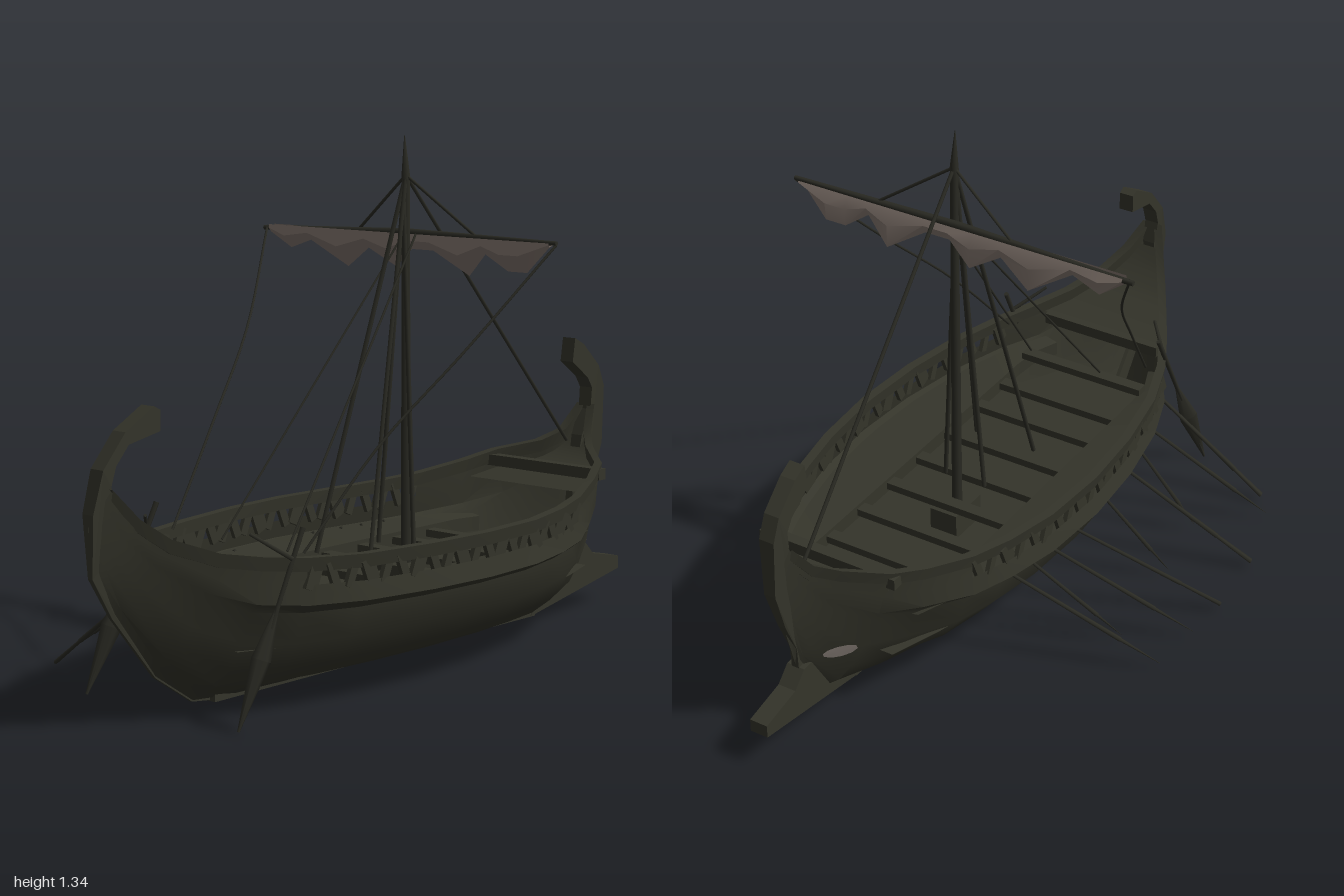
import * as THREE from 'three';
import { toCreasedNormals } from 'three/addons/utils/BufferGeometryUtils.js';

const material = (name, color) => {
  const m = new THREE.MeshStandardMaterial({ color, side: THREE.DoubleSide });
  m.name = name;
  return m;
};
const V = (x, y, z) => new THREE.Vector3(x, y, z);
const lerp = THREE.MathUtils.lerp;

// Hull stations: keel z, keel y, gunwale z, gunwale y, half width, fullness
const STATIONS = [
  [1.0, 0.5, 0.95, 0.58, 0.024, 0], [0.99, 0.38, 0.9, 0.51, 0.06, 0],
  [0.93, 0.28, 0.84, 0.46, 0.1, 0.2], [0.8, 0.12, 0.74, 0.42, 0.16, 0.5],
  [0.68, 0.04, 0.65, 0.405, 0.21, 0.8], [0.55, 0.03, 0.55, 0.395, 0.26, 1],
  [0.4, 0.03, 0.4, 0.39, 0.31, 1], [0.2, 0.03, 0.2, 0.39, 0.345, 1],
  [0, 0.03, 0, 0.39, 0.358, 1], [-0.2, 0.03, -0.2, 0.39, 0.345, 1],
  [-0.35, 0.03, -0.35, 0.395, 0.315, 1], [-0.47, 0.03, -0.47, 0.405, 0.28, 1],
  [-0.6, 0.035, -0.6, 0.43, 0.228, 0.8], [-0.74, 0.06, -0.69, 0.455, 0.185, 0.5],
  [-0.84, 0.2, -0.77, 0.48, 0.095, 0.2], [-0.88, 0.35, -0.82, 0.51, 0.05, 0],
  [-0.92, 0.47, -0.87, 0.58, 0.024, 0],
];
// Cross-section: share of half width, share of height
const PROFILE = [[0.06, 0], [0.2, 0.06], [0.46, 0.12], [0.68, 0.25], [0.86, 0.43],
  [0.92, 0.64], [1.03, 0.7], [1, 0.83], [1, 1]];

function station(u) {
  const i = Math.min(Math.floor(u), STATIONS.length - 2);
  return STATIONS[i].map((v, k) => lerp(v, STATIONS[i + 1][k], u - i));
}
function hullPoint(u, px, t, side) {
  const [kz, ky, gz, gy, w, full] = station(u);
  return V(side * w * lerp(t, px, full), lerp(ky, gy, t), lerp(kz, gz, t));
}
function gunwale(z) {
  let i = 0;
  while (i < STATIONS.length - 2 && STATIONS[i + 1][2] > z) i++;
  const a = STATIONS[i], b = STATIONS[i + 1];
  const f = THREE.MathUtils.clamp((a[2] - z) / (a[2] - b[2]), 0, 1);
  return { y: lerp(a[3], b[3], f), w: lerp(a[4], b[4], f) };
}

// Skin a row of equal-length cross-sections
function loft(sections, skip = () => false) {
  const n = sections[0].length, index = [];
  for (let i = 0; i < sections.length - 1; i++) {
    for (let j = 0; j < n - 1; j++) {
      if (skip(i, j)) continue;
      const a = i * n + j, b = a + n;
      index.push(a, a + 1, b, a + 1, b + 1, b);
    }
  }
  const g = new THREE.BufferGeometry().setFromPoints(sections.flat());
  g.setIndex(index);
  return toCreasedNormals(g, 0.6);
}

export function createModel() {
  const timber = material('dark timber', 0x34342a);
  const spar = material('spar and rope', 0x2a2a23);
  const canvas = material('sail cloth', 0x857870);
  const eyePaint = material('eye paint', 0x8d837c);
  const model = new THREE.Group();
  const ship = new THREE.Group();
  ship.name = 'ship';
  ship.position.x = 0.11;
  model.add(ship);

  function add(name, geometry, mat, parent = ship) {
    const m = new THREE.Mesh(geometry, mat);
    m.name = name;
    parent.add(m);
    return m;
  }
  function rod(name, a, b, r0, r1, flat = 1) {
    const d = b.clone().sub(a);
    const m = add(name, new THREE.CylinderGeometry(r1, r0, d.length(), 6), spar, model);
    m.position.copy(a).add(b).multiplyScalar(0.5);
    m.quaternion.setFromUnitVectors(V(0, 1, 0), d.normalize());
    m.scale.x = flat;
    return m;
  }

  // Hull shell, open along the midship railing
  const sections = STATIONS.map((_, i) => [
    ...PROFILE.slice().reverse().map(([x, t]) => hullPoint(i, x, t, -1)),
    ...PROFILE.map(([x, t]) => hullPoint(i, x, t, 1)),
  ]);
  add('hull', loft(sections, (i, j) => i >= 5 && i <= 10 && (j === 0 || j === 16)), timber);

  // Rails, railing braces, side walkways and eyes on both sides
  for (const s of [-1, 1]) {
    add('topRail', loft(STATIONS.map(([, , z, y, w]) =>
      [[0, -0.03], [0.006, 0.004], [-0.02, 0.004], [-0.016, -0.03], [0, -0.03]]
        .map(([dx, dy]) => V(s * Math.max(w + dx, 0), y + dy, z)))), timber);
    for (let k = 0; k < 21; k++) {
      const z = 0.53 - k * 0.049, { y, w } = gunwale(z);
      const post = add('railPost', new THREE.BoxGeometry(0.012, 0.07, k % 3 ? 0.024 : 0.04), timber);
      post.position.set(s * (w - 0.007), y - 0.042, z);
      post.rotation.x = k % 2 ? 0.4 : -0.4;
    }
    const walk = [];
    for (let z = 0.67; z > -0.63; z -= 0.08) {
      const { w } = gunwale(z), inner = Math.min(0.185, w * 0.75);
      walk.push([V(s * inner, 0.24, z), V(s * inner, 0.28, z), V(s * w * 0.94, 0.29, z)]);
    }
    add('sideWalkway', loft(walk), timber);
    const eye = [];
    for (const r of [0, 1]) {
      eye.push(Array.from({ length: 11 }, (_, k) => {
        const a = k / 10 * Math.PI * 2, du = r * 0.28 * Math.cos(a);
        const t = 0.31 + r * 0.055 * Math.sin(a) - 0.31 * du;
        // match the width of the neighbouring profile row
        const j = PROFILE.findIndex(p => p[1] >= t), p = PROFILE[j - 1], q = PROFILE[j];
        const px = lerp(p[0], q[0], (t - p[1]) / (q[1] - p[1]));
        return hullPoint(13.4 + du, px, t, s).add(V(s * 0.007, 0, 0));
      }));
    }
    add('eye', loft(eye), eyePaint);
  }

  // Floor and raised end decks
  function deck(name, z0, z1, height, share) {
    const rows = [];
    for (let k = 0; k <= 10; k++) {
      const z = lerp(z0, z1, k / 10), { w, y } = gunwale(z);
      rows.push([V(-w * share, height(y), z), V(w * share, height(y), z)]);
    }
    add(name, loft(rows), timber);
  }
  deck('floor', 0.68, -0.66, () => 0.18, 0.82);
  deck('sternDeck', 0.93, 0.67, y => y - 0.035, 0.96);
  deck('bowDeck', -0.62, -0.85, y => y - 0.05, 0.96);
  for (const [z, y] of [[0.56, 0.29], [0.43, 0.26], [0.3, 0.26], [0.14, 0.26], [0, 0.26],
    [-0.14, 0.26], [-0.28, 0.26], [-0.42, 0.26]]) {
    add('bench', new THREE.BoxGeometry(0.38, 0.02, 0.035), timber).position.set(0, y, z);
  }
  add('sternBeam', new THREE.BoxGeometry(0.36, 0.03, 0.03), timber).position.set(0, 0.36, 0.67);
  add('bowBeam', new THREE.BoxGeometry(0.4, 0.03, 0.03), timber).position.set(0, 0.43, -0.68);
  add('mastStep', new THREE.BoxGeometry(0.08, 0.08, 0.12), timber).position.set(0, 0.21, -0.11);

  // Keel, curled end posts and ram, cut from flat side outlines (z, y)
  function plank(name, outline, width, foot = 1) {
    const shape = new THREE.Shape(outline.map(([z, y]) => new THREE.Vector2(z, y)));
    const g = new THREE.ExtrudeGeometry(shape, { depth: width, bevelEnabled: false });
    g.translate(0, 0, -width / 2);
    g.rotateY(-Math.PI / 2);
    // slim the foot so that it fades into the hull
    const p = g.attributes.position;
    for (let i = 0; i < p.count; i++) {
      p.setX(i, p.getX(i) * lerp(foot, 1, THREE.MathUtils.smoothstep(p.getY(i), 0.3, 0.62)));
    }
    g.computeVertexNormals();
    return add(name, g, timber);
  }
  plank('sternPost', [[0.79, 0.75], [0.81, 0.76], [0.9, 0.71], [0.97, 0.63], [1, 0.53], [0.995, 0.38],
    [0.935, 0.28], [0.8, 0.115], [0.68, 0.035], [0.6, 0.025], [0.6, 0.05], [0.7, 0.09], [0.85, 0.26],
    [0.94, 0.42], [0.93, 0.53], [0.945, 0.59], [0.93, 0.635], [0.89, 0.68], [0.79, 0.7]], 0.042, 0.25);
  plank('bowPost', [[-0.79, 0.775], [-0.83, 0.755], [-0.9, 0.69], [-0.925, 0.63], [-0.925, 0.47],
    [-0.885, 0.35], [-0.845, 0.26], [-0.84, 0.17], [-0.78, 0.17], [-0.8, 0.35], [-0.83, 0.5],
    [-0.865, 0.57], [-0.87, 0.63], [-0.85, 0.66], [-0.78, 0.71]], 0.042, 0.5);
  plank('ram', [[-0.6, 0.027], [-1, 0.1], [-1, 0.135], [-0.88, 0.16], [-0.84, 0.2], [-0.72, 0.2]], 0.05);
  add('keel', new THREE.BoxGeometry(0.045, 0.02, 1.24), timber).position.set(0, 0.035, 0);

  // Mast, yard and furled sail
  const top = V(0.1, 1.25, -0.11);
  rod('mast', V(0.105, 0.18, -0.11), top, 0.014, 0.01);
  rod('mastTip', V(0.1, 1.24, -0.11), V(0.097, 1.35, -0.108), 0.012, 0.001);
  rod('yard', V(-0.415, 1.09, -0.13), V(0.08, 1.103, -0.13), 0.007, 0.011);
  rod('yard', V(0.08, 1.103, -0.13), V(0.567, 1.1, -0.13), 0.011, 0.006);
  const hem = [[-0.39, 1.08], [-0.33, 1.04], [-0.25, 1.065], [-0.14, 1.0], [-0.05, 1.055], [0.03, 1.01],
    [0.1, 1.06], [0.17, 1.06], [0.27, 1.0], [0.34, 1.06], [0.4, 1.02], [0.46, 1.02], [0.55, 1.09]];
  add('furledSail', loft(hem.map(([x, y]) => {
    const drop = 1.1 - y;
    return [V(x, 1.1, -0.12), V(x, 1.1 - drop * 0.45, -0.12 + drop * 0.1), V(x, y, -0.12 - drop * 0.4),
      V(x, 1.1 - drop * 0.4, -0.14 - drop * 0.2), V(x, 1.1, -0.14)];
  })), canvas, model);

  // Standing rigging and lifts
  rod('forestay', top, V(0.105, 0.49, -0.79), 0.005, 0.005);
  for (const s of [-1, 1]) {
    rod('shroud', top, V(0.11 + s * 0.09, 0.3, 0.14), 0.006, 0.006);
    rod('backShroud', V(0.1, 1.2, -0.1), V(0.105 + s * 0.06, 0.3, -0.07), 0.006, 0.006);
    rod('lift', top, V(0.12 + s * 0.2, 1.1, -0.13), 0.004, 0.004);
    rod('halyard', V(0.105 + s * 0.02, 1.1, -0.12), V(0.11 + s * 0.11, 0.38, 0.46), 0.003, 0.003);
    // Slack braces from the yard ends
    const brace = new THREE.CatmullRomCurve3([V(0.08 + s * 0.485, 1.095, -0.13),
      V(0.105 + s * 0.365, 0.85, 0.1), V(0.105 + s * 0.28, 0.64, 0.31), V(0.11 + s * 0.22, 0.4, 0.52)]);
    add('brace', new THREE.TubeGeometry(brace, 16, 0.0035, 5), spar, model);
  }

  // Oars on the right-hand side: root x, root z, tip x, tip z, tip radius
  for (const [x0, z0, x1, z1, tip] of [[-0.17, -0.34, -0.55, -0.18, 0.001], [-0.18, -0.26, -0.41, -0.13, 0.001],
    [-0.19, -0.19, -0.56, -0.02, 0.001], [-0.2, -0.09, -0.565, 0.12, 0.013], [-0.2, 0.09, -0.38, 0.18, 0.001],
    [-0.19, 0.22, -0.55, 0.33, 0.012], [-0.18, 0.33, -0.34, 0.4, 0.001], [-0.16, 0.42, -0.485, 0.55, 0.001],
    [-0.12, 0.57, -0.435, 0.62, 0.011]]) {
    const a = V(x0, 0.29, z0), b = V(x1, 0.03, z1), neck = a.clone().lerp(b, 0.75);
    rod('oarLoom', a, neck, 0.006, 0.009, 0.7);
    rod('oarBlade', neck, b, 0.009, tip, 0.5);
  }

  // Steering oars either side of the stern
  for (const [x0, x1] of [[-0.13, -0.195], [0.36, 0.322]]) {
    const a = V(x0, 0.47, 0.555), b = V(x1, 0.01, 0.735);
    rod('steeringOar', a, b, 0.007, 0.004);
    rod('steeringBlade', a.clone().lerp(b, 0.4), a.clone().lerp(b, 0.65), 0.006, 0.026, 0.4);
    rod('steeringBlade', a.clone().lerp(b, 0.65), b, 0.026, 0.003, 0.4);
    rod('tiller', V(x0, 0.4, 0.59), V(x0 + (x0 < 0 ? 0.07 : -0.07), 0.46, 0.66), 0.006, 0.004);
  }
  return model;
}
